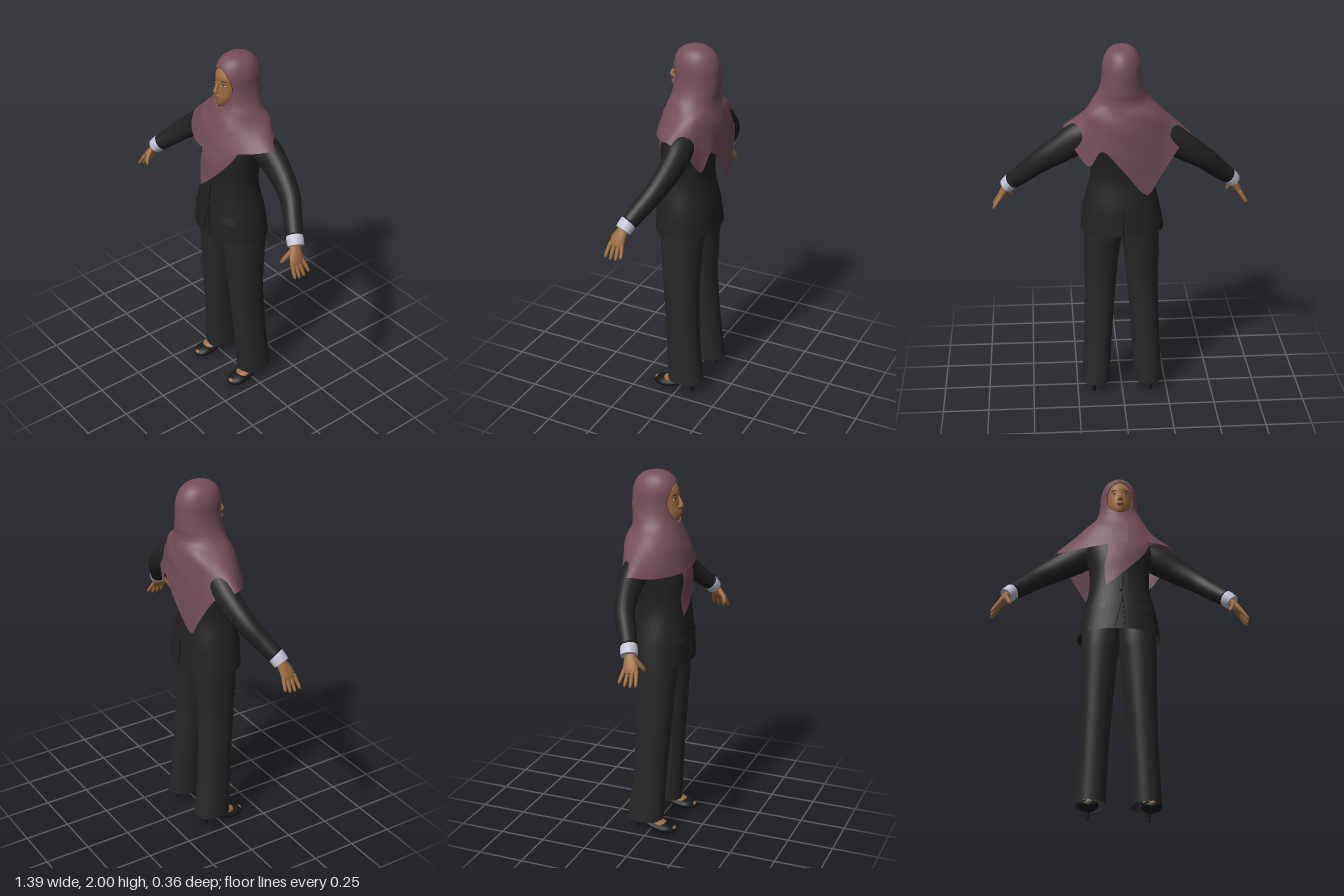
import * as THREE from 'three';
import { mergeVertices } from 'three/addons/utils/BufferGeometryUtils.js';

const mat = (name, color, side = THREE.FrontSide) => {
  const m = new THREE.MeshStandardMaterial({ color, side });
  m.name = name;
  return m;
};

// Catmull-Rom through rows of numbers, t from 0 to 1
function spline(rows, t, closed = false) {
  const n = rows.length, segs = closed ? n : n - 1;
  const f = t * segs, i = Math.min(Math.floor(f), segs - 1), u = f - i;
  const at = k => closed ? rows[(k + n) % n] : rows[Math.max(0, Math.min(n - 1, k))];
  const [a, b, c, d] = [at(i - 1), at(i), at(i + 1), at(i + 2)];
  return b.map((_, k) => 0.5 * (2 * b[k] + (c[k] - a[k]) * u
    + (2 * a[k] - 5 * b[k] + 4 * c[k] - d[k]) * u * u
    + (3 * b[k] - a[k] - 3 * c[k] + d[k]) * u * u * u));
}
const smooth = (rows, n) => Array.from({ length: n + 1 }, (_, i) => spline(rows, i / n));

// Surface through rows of points; wrapped rings may be capped, winding is turned outward
function skin(rows, wrap = true, capA = false, capB = false) {
  const pos = [], idx = [], n = rows[0].length, last = rows.length - 1;
  rows.forEach(r => r.forEach(p => pos.push(p[0], p[1], p[2])));
  for (let i = 0; i < last; i++) for (let j = 0; j < (wrap ? n : n - 1); j++) {
    const a = i * n + j, b = i * n + (j + 1) % n;
    idx.push(a, b, a + n, b, b + n, a + n);
  }
  const cap = (row, flip) => {
    const c = pos.length / 3, base = row * n;
    pos.push(...[0, 1, 2].map(k => rows[row].reduce((s, p) => s + p[k], 0) / n));
    for (let j = 0; j < n; j++) {
      const a = base + j, b = base + (j + 1) % n;
      idx.push(c, ...(flip ? [b, a] : [a, b]));
    }
  };
  if (capA) cap(0, true);
  if (capB) cap(last, false);
  const P = k => new THREE.Vector3(pos[3 * k], pos[3 * k + 1], pos[3 * k + 2]);
  const mid = P(0).add(P(last * n)).multiplyScalar(0.5);
  let vol = 0;
  for (let k = 0; k < idx.length; k += 3) {
    const [a, b, c] = [0, 1, 2].map(q => P(idx[k + q]).sub(mid));
    vol += a.dot(b.cross(c));
  }
  if (wrap && vol < 0) idx.reverse();
  let g = new THREE.BufferGeometry();
  g.setAttribute('position', new THREE.Float32BufferAttribute(pos, 3));
  g.setIndex(idx);
  g = mergeVertices(g, 1e-5);
  g.computeVertexNormals();
  return g;
}

const pw = (v, e) => Math.sign(v) * Math.abs(v) ** e;
const circle = (n, f) => Array.from({ length: n }, (_, j) => f(j / n * Math.PI * 2));
// Upright body from sections [y, x0, x1, zFront, zBack]
const upright = (secs, s = 1, capA = false, capB = false, e = 1, n = 40) =>
  skin(smooth(secs, 40).map(([y, x0, x1, zf, zb]) => circle(n, a => [
    s * ((x0 + x1) / 2 + (x1 - x0) / 2 * pw(Math.sin(a), e)), y,
    (zf + zb) / 2 + (zf - zb) / 2 * pw(Math.cos(a), e)])), true, capA, capB);
// Front z of such a body
function frontZ(secs, x, y, e = 1) {
  const [, x0, x1, zf, zb] = smooth(secs, 120).reduce((b, r) => Math.abs(r[0] - y) < Math.abs(b[0] - y) ? r : b);
  const q = Math.min(1, Math.abs((x - (x0 + x1) / 2) / ((x1 - x0) / 2)));
  return (zf + zb) / 2 + (zf - zb) / 2 * (1 - q ** (2 / e)) ** (e / 2);
}
// Limb along points [x, y, z, radius toward z, other radius]
function limb(pts, s = 1, steps = 18, n = 18) {
  const rows = smooth(pts, steps);
  return skin(rows.map((r, i) => {
    const a = rows[Math.max(0, i - 1)], b = rows[Math.min(steps, i + 1)];
    const t = new THREE.Vector3(b[0] - a[0], b[1] - a[1], b[2] - a[2]).normalize();
    const u = new THREE.Vector3(0, 0, 1).addScaledVector(t, -t.z).normalize();
    const v = t.clone().cross(u);
    return circle(n, w => {
      const p = new THREE.Vector3(r[0], r[1], r[2]).addScaledVector(u, r[3] * Math.cos(w)).addScaledVector(v, r[4] * Math.sin(w));
      return [s * p.x, p.y, p.z];
    });
  }), true, true, true);
}
// Foot-like body from sections [z, halfWidth, yBottom, yTop] around x
const lengthwise = (secs, x, s) => skin(smooth(secs, 20).map(([z, r, y0, y1]) =>
  circle(20, a => [s * (x + r * Math.cos(a)), (y0 + y1) / 2 + (y1 - y0) / 2 * Math.sin(a), z])), true, true, true);

const JACKET = [
  [0.98, -0.228, 0.222, 0.178, -0.155], [1.04, -0.218, 0.216, 0.175, -0.148], [1.13, -0.2, 0.2, 0.17, -0.138],
  [1.25, -0.17, 0.17, 0.16, -0.115], [1.33, -0.163, 0.163, 0.155, -0.113], [1.42, -0.17, 0.17, 0.154, -0.125],
  [1.5, -0.18, 0.18, 0.14, -0.135], [1.56, -0.172, 0.172, 0.11, -0.125], [1.61, -0.125, 0.125, 0.07, -0.11],
  [1.66, -0.06, 0.06, 0.03, -0.08]];
const FACE = [
  [1.733, -0.022, 0.022, 0.082, 0.0], [1.745, -0.042, 0.042, 0.1, -0.05], [1.78, -0.06, 0.06, 0.107, -0.08],
  [1.82, -0.071, 0.071, 0.101, -0.09], [1.86, -0.077, 0.077, 0.097, -0.1], [1.9, -0.078, 0.078, 0.095, -0.1],
  [1.945, -0.068, 0.068, 0.072, -0.09]];
const LEG = [
  [1.04, -0.004, 0.198, 0.125, -0.118], [0.94, -0.004, 0.203, 0.125, -0.115], [0.84, 0.012, 0.203, 0.118, -0.105],
  [0.6, 0.035, 0.203, 0.1, -0.094], [0.3, 0.057, 0.212, 0.078, -0.11], [0.065, 0.066, 0.225, 0.066, -0.136]];
// Headscarf: hood rings [y, halfWidth, zFront, zBack], then shoulder and hem rings from the front toward +x
const HOOD = [
  [2.0, 0, -0.02, -0.02], [1.988, 0.05, 0.035, -0.085], [1.955, 0.083, 0.075, -0.128], [1.9, 0.101, 0.095, -0.152],
  [1.83, 0.106, 0.095, -0.157], [1.765, 0.12, 0.097, -0.155], [1.71, 0.15, 0.11, -0.152]];
const SHOULDER = [
  [0, 1.61, 0.145], [0.07, 1.61, 0.14], [0.13, 1.62, 0.105], [0.18, 1.635, 0.04],
  [0.2, 1.65, -0.03], [0.19, 1.645, -0.09], [0.15, 1.63, -0.13], [0.08, 1.62, -0.16],
  [0, 1.6, -0.175], [-0.08, 1.6, -0.17], [-0.16, 1.61, -0.145], [-0.215, 1.62, -0.1],
  [-0.24, 1.63, -0.03], [-0.22, 1.62, 0.04], [-0.16, 1.61, 0.1], [-0.08, 1.605, 0.135]];
const HEM = [
  [0, 1.5, 0.17], [0.1, 1.515, 0.157], [0.19, 1.54, 0.105], [0.26, 1.555, 0.05],
  [0.305, 1.565, -0.02], [0.27, 1.5, -0.1], [0.18, 1.38, -0.14], [0.11, 1.47, -0.165],
  [0, 1.36, -0.175], [-0.12, 1.22, -0.155], [-0.19, 1.31, -0.145], [-0.29, 1.46, -0.115],
  [-0.365, 1.515, -0.04], [-0.31, 1.5, 0.04], [-0.22, 1.49, 0.105], [-0.11, 1.49, 0.155]];

function scarf() {
  const point = (a, v) => {
    const q = a / (Math.PI * 2);
    const ctrl = HOOD.map(([y, r, f, b]) => [r * Math.sin(a), y, (f + b) / 2 + (f - b) / 2 * Math.cos(a)]);
    ctrl.push(spline(SHOULDER, q, true), spline(HEM, q, true));
    const p = spline(ctrl, v);
    // soft diagonal folds below the chin
    const fold = p[1] < 1.74 ? 0.03 * Math.sin(4 * a + 45 * p[1]) * Math.min(1, (1.74 - p[1]) * 12) * (1 - v) * 3 : 0;
    return [p[0] * (1 + fold), p[1], p[2] * (1 + fold)];
  };
  const rows = [], R = 80, C = 96;
  for (let i = 0; i <= R; i++) {
    const v = i / R, [rx, y] = point(Math.PI / 2, v);
    const h = (y - 1.836) / 0.105;
    const open = Math.abs(h) < 1 ? Math.asin(Math.min(0.9, 0.071 * Math.sqrt(1 - h * h) / rx)) : 0;
    const row = [];
    for (let j = 0; j <= C; j++) row.push(point(open + (Math.PI * 2 - 2 * open) * j / C, v));
    // edge turned in toward the face
    const tuck = p => open ? [p[0] * 0.93, p[1], p[2] - 0.03] : [...p];
    rows.push([tuck(row[0]), ...row, tuck(row[C])]);
  }
  return skin(rows, false);
}

export function createModel() {
  const cloth = THREE.DoubleSide;
  const M = {
    scarf: mat('mauve scarf', 0x754e5a, cloth), jacket: mat('black jacket', 0x212121, cloth),
    trousers: mat('charcoal trousers', 0x272727, cloth), seam: mat('dark seam', 0x121212),
    shoe: mat('black shoe', 0x15171a), skin: mat('brown skin', 0x9c6b3f), cuff: mat('pale cuff', 0xc2c2d6),
    lips: mat('lips', 0x81493a), hair: mat('dark brown', 0x36241a), white: mat('eye white', 0xc9bba8)
  };
  const root = new THREE.Group();
  const add = (name, geo, material, parent = root) => {
    const m = new THREE.Mesh(geo, material);
    m.name = name;
    parent.add(m);
    return m;
  };
  const blob = (name, x, y, z, sx, sy, sz, material) => {
    const m = add(name, new THREE.SphereGeometry(1, 16, 10), material);
    m.position.set(x, y, z);
    m.scale.set(sx, sy, sz);
    return m;
  };

  // Head
  add('face', upright(FACE, 1, true, true), M.skin);
  add('nose', limb([[0, 1.87, 0.094, 0.006, 0.007], [0, 1.84, 0.106, 0.01, 0.009], [0, 1.82, 0.112, 0.012, 0.013], [0, 1.81, 0.103, 0.006, 0.014]]), M.skin);
  blob('upperLip', 0, 1.789, 0.107, 0.022, 0.005, 0.007, M.lips);
  blob('lowerLip', 0, 1.78, 0.106, 0.019, 0.006, 0.008, M.lips);
  for (const s of [1, -1]) {
    blob('nostril', s * 0.011, 1.815, 0.103, 0.007, 0.006, 0.009, M.skin);
    const z = frontZ(FACE, 0.032, 1.857);
    blob('eye', s * 0.032, 1.857, z, 0.013, 0.005, 0.003, M.white).rotation.y = s * 0.4;
    blob('iris', s * 0.032, 1.857, z + 0.002, 0.005, 0.005, 0.002, M.hair);
    blob('eyelid', s * 0.032, 1.862, z + 0.001, 0.014, 0.002, 0.003, M.hair).rotation.y = s * 0.4;
    const brow = blob('eyebrow', s * 0.034, 1.88, frontZ(FACE, 0.034, 1.88), 0.017, 0.003, 0.003, M.hair);
    brow.rotation.set(0, s * 0.4, -s * 0.1);
  }

  // Headscarf and its hanging front point
  add('headscarf', scarf(), M.scarf);
  const left = [[-0.07, 1.53], [-0.072, 1.44], [-0.09, 1.36], [-0.08, 1.245]];
  const right = [[0.165, 1.56], [0.13, 1.46], [0.04, 1.35], [-0.078, 1.245]];
  add('scarfFrontPoint', skin(Array.from({ length: 21 }, (_, i) => {
    const [a, b] = [spline(left, i / 20), spline(right, i / 20)];
    return Array.from({ length: 13 }, (_, j) => {
      const u = j / 12, x = a[0] + (b[0] - a[0]) * u, y = a[1] + (b[1] - a[1]) * u;
      return [x, y, frontZ(JACKET, x, y, 0.9) + 0.01];
    });
  }), false), M.scarf);

  // Jacket with front edge, vent, button and pocket flaps
  add('jacket', upright(JACKET, 1, false, true, 0.9), M.jacket);
  const strip = (name, x0, y0, x1, y1, back) => {
    const z = (x, y) => back ? spline(JACKET, 0)[4] + (y - 0.98) * 0.1 - 0.001 : frontZ(JACKET, x, y, 0.9);
    add(name, limb([[x0, y0, z(x0, y0), 0.003, 0.002], [(x0 + x1) / 2, (y0 + y1) / 2, z((x0 + x1) / 2, (y0 + y1) / 2), 0.003, 0.002],
      [x1, y1, z(x1, y1), 0.003, 0.002]], 1, 8, 8), M.seam);
  };
  strip('frontEdge', 0.012, 1.3, 0.008, 1.17);
  strip('frontEdge', 0.008, 1.17, -0.035, 0.985);
  strip('frontEdge', 0.008, 1.17, 0.022, 0.985);
  strip('backVent', 0, 1.13, 0, 0.985, true);
  blob('button', 0, 1.215, frontZ(JACKET, 0, 1.215, 0.9) + 0.002, 0.009, 0.009, 0.004, M.seam);
  for (const s of [1, -1]) {
    add('pocketFlap', skin([1.145, 1.105].map(y => Array.from({ length: 9 }, (_, j) => {
      const x = 0.085 + j * 0.0105, yy = y - j * 0.0012;
      return [s * x, yy, frontZ(JACKET, x, yy, 0.9) + (y < 1.12 ? 0.009 : 0.001)];
    })), false), M.jacket);
  }

  for (const s of [1, -1]) {
    const side = new THREE.Group();
    side.name = s > 0 ? 'leftLimbs' : 'rightLimbs';
    root.add(side);

    // Arm
    add('sleeve', limb([[0.13, 1.55, -0.045, 0.06, 0.06], [0.22, 1.515, -0.05, 0.068, 0.085], [0.33, 1.445, -0.045, 0.06, 0.074],
      [0.44, 1.368, -0.02, 0.052, 0.06], [0.52, 1.292, 0.025, 0.047, 0.052], [0.583, 1.235, 0.062, 0.044, 0.045]], s, 30, 24), M.jacket, side);
    add('cuff', limb([[0.572, 1.245, 0.056, 0.04, 0.04], [0.59, 1.228, 0.066, 0.045, 0.044], [0.615, 1.2, 0.078, 0.043, 0.041]], s), M.cuff, side);

    // Hand
    const hand = new THREE.Group();
    hand.name = 'hand';
    side.add(hand);
    add('palm', limb([[0.6, 1.215, 0.075, 0.027, 0.021], [0.625, 1.175, 0.088, 0.034, 0.021], [0.645, 1.142, 0.097, 0.041, 0.017],
      [0.657, 1.122, 0.099, 0.036, 0.011]], s), M.skin, hand);
    for (let i = 0; i < 4; i++) {
      const z = 0.067 + 0.021 * i, long = [0.8, 0.98, 1, 0.9][i];
      add('finger', limb([[0.648, 1.138, z, 0.011, 0.011], [0.67, 1.138 - 0.04 * long, z + (i - 1.5) * 0.005, 0.01, 0.01],
        [0.686, 1.138 - 0.068 * long, z + (i - 1.5) * 0.008, 0.008, 0.008], [0.69, 1.138 - 0.079 * long, z + (i - 1.5) * 0.008, 0.003, 0.003]], s, 10, 10), M.skin, hand);
    }
    add('thumb', limb([[0.618, 1.185, 0.105, 0.015, 0.014], [0.606, 1.15, 0.138, 0.012, 0.012], [0.594, 1.125, 0.15, 0.009, 0.01],
      [0.588, 1.112, 0.152, 0.003, 0.003]], s, 10, 10), M.skin, hand);

    // Leg, foot and heeled shoe
    add('trouserLeg', upright(LEG, s, true, false, 0.9), M.trousers, side);
    add('foot', lengthwise([[0.1, 0.025, 0.03, 0.055], [0.06, 0.038, 0.03, 0.072], [0.01, 0.037, 0.05, 0.105], [-0.04, 0.034, 0.06, 0.15],
      [-0.08, 0.026, 0.07, 0.15]], 0.16, s), M.skin, side);
    add('shoe', lengthwise([[0.15, 0.012, 0.012, 0.028], [0.135, 0.034, 0.005, 0.044], [0.095, 0.052, 0.002, 0.058], [0.04, 0.048, 0.008, 0.06],
      [-0.02, 0.038, 0.035, 0.075], [-0.075, 0.035, 0.06, 0.11], [-0.1, 0.016, 0.07, 0.11]], 0.16, s), M.shoe, side);
    blob('toes', s * 0.16, 0.034, 0.138, 0.018, 0.01, 0.013, M.skin);
    const heel = add('heel', new THREE.CylinderGeometry(0.017, 0.007, 0.075, 14), M.shoe, side);
    heel.position.set(s * 0.16, 0.0375, -0.08);
  }
  return root;
}
